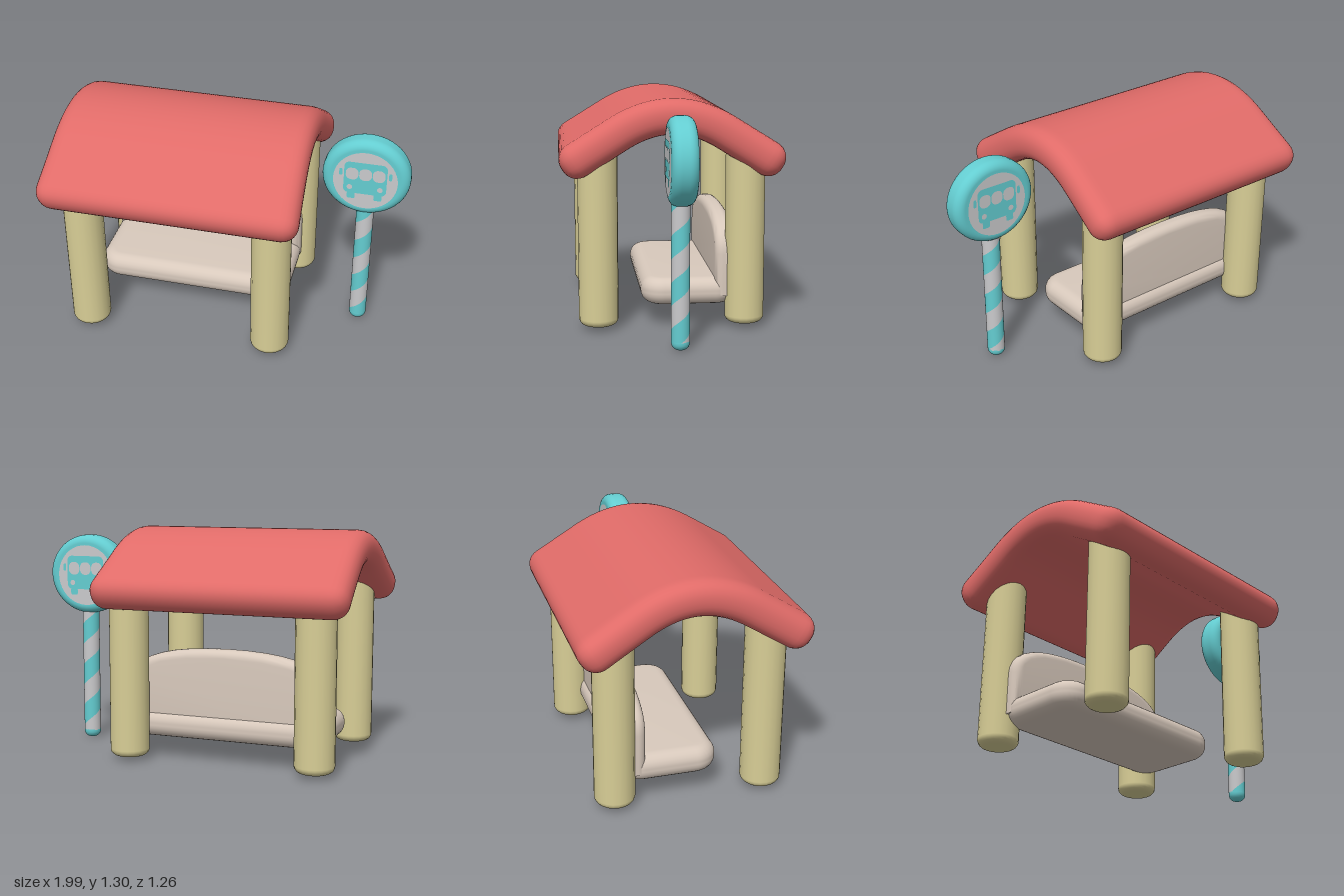
import * as THREE from 'three';
import { mergeVertices, toCreasedNormals } from 'three/addons/utils/BufferGeometryUtils.js';

const mat = (name, color, side = THREE.FrontSide) => {
  const m = new THREE.MeshStandardMaterial({ color, side });
  m.name = name;
  return m;
};

const add = (parent, name, geo, material, x = 0, y = 0, z = 0) => {
  const mesh = new THREE.Mesh(geo, material);
  mesh.name = name;
  mesh.position.set(x, y, z);
  parent.add(mesh);
  return mesh;
};

// Box with rounded edges and a fine grid, so that it can be bent
function softBox(w, h, d, r) {
  const geo = new THREE.BoxGeometry(w, h, d, 48, 8, 48);
  const p = geo.attributes.position;
  const v = new THREE.Vector3(), core = new THREE.Vector3();
  const max = new THREE.Vector3(w / 2 - r, h / 2 - r, d / 2 - r), min = max.clone().negate();
  for (let i = 0; i < p.count; i++) {
    v.fromBufferAttribute(p, i);
    core.copy(v).clamp(min, max);
    v.sub(core).setLength(r).add(core);
    p.setXYZ(i, v.x, v.y, v.z);
  }
  return geo;
}

// Bends the roof slab over a parabola that runs out into straight eaves
function roofGeometry() {
  const geo = softBox(1.47, 0.2, 1.25, 0.092);
  const p = geo.attributes.position;
  for (let i = 0; i < p.count; i++) {
    const x = p.getX(i), y = p.getY(i), z = p.getZ(i);
    const c = THREE.MathUtils.clamp(z, -0.53, 0.53), e = z - c;
    const a = Math.min(Math.abs(c), 0.3);
    const drop = 1.03 * a * a + 0.62 * (Math.abs(c) - a);
    const slope = 2.06 * a * Math.sign(c), len = Math.hypot(1, slope);
    const flare = 1 - 0.022 * (1 - (c / 0.53) ** 2);
    p.setXYZ(i, x * flare, 1.205 - drop + (y - slope * e) / len, c + (e + slope * y) / len);
  }
  geo.deleteAttribute('uv');
  geo.deleteAttribute('normal');
  const merged = mergeVertices(geo, 1e-5);
  merged.computeVertexNormals();
  return merged;
}

function roundedRect(w, h, r, Type = THREE.Shape, cx = 0, cy = 0) {
  const s = new Type(), x = w / 2 - r, y = h / 2 - r;
  s.absarc(cx + x, cy + y, r, 0, Math.PI / 2);
  s.absarc(cx - x, cy + y, r, Math.PI / 2, Math.PI);
  s.absarc(cx - x, cy - y, r, Math.PI, Math.PI * 1.5);
  s.absarc(cx + x, cy - y, r, Math.PI * 1.5, Math.PI * 2);
  s.closePath();
  return s;
}

// Cushion-like slab, centred on its thickness
function cushion(shape, thickness, bevel) {
  const geo = new THREE.ExtrudeGeometry(shape, {
    depth: thickness - 2 * bevel, bevelThickness: bevel, bevelSize: bevel,
    bevelOffset: -bevel, bevelSegments: 6, curveSegments: 10,
  });
  geo.translate(0, 0, bevel - thickness / 2);
  return toCreasedNormals(geo, 0.9);
}

// Solid of revolution with rounded rims
function roundedCylinder(radius, y0, y1, r, segments) {
  const pts = [new THREE.Vector2(0, y0)];
  for (let i = 0; i <= 6; i++) {
    const a = (i / 6) * Math.PI / 2;
    pts.push(new THREE.Vector2(radius - r + r * Math.sin(a), y0 + r - r * Math.cos(a)));
  }
  for (let i = 0; i <= 6; i++) {
    const a = (i / 6) * Math.PI / 2;
    pts.push(new THREE.Vector2(radius - r + r * Math.cos(a), y1 - r + r * Math.sin(a)));
  }
  pts.push(new THREE.Vector2(0, y1));
  return new THREE.LatheGeometry(pts, segments);
}

// One turn of a helical stripe, trimmed to the height of the pole
function stripe(y0, height, bottom, top) {
  const geo = new THREE.CylinderGeometry(0.05, 0.05, height, 32, 1, true);
  const p = geo.attributes.position, uv = geo.attributes.uv;
  for (let i = 0; i < p.count; i++) {
    const y = p.getY(i) + height / 2 + y0 + uv.getX(i) * height * 2;
    p.setY(i, THREE.MathUtils.clamp(y, bottom, top));
  }
  return geo;
}

// Vehicle pictogram with open windows and headlights
function busShapes() {
  const body = roundedRect(0.24, 0.2, 0.03, THREE.Shape, 0, 0.015);
  for (const x of [-0.075, 0, 0.075]) {
    body.holes.push(roundedRect(0.07, 0.075, 0.03, THREE.Path, x, 0.04));
  }
  for (const x of [-0.085, 0.085]) {
    body.holes.push(new THREE.Path().absarc(x, -0.047, 0.016, 0, Math.PI * 2));
  }
  const shapes = [body];
  for (const s of [-1, 1]) {
    shapes.push(roundedRect(0.045, 0.04, 0.01, THREE.Shape, s * 0.075, -0.1));
    shapes.push(roundedRect(0.018, 0.045, 0.008, THREE.Shape, s * 0.138, 0.045));
  }
  return shapes;
}

export function createModel() {
  const red = mat('roof red', 0xe06b68);
  const straw = mat('post straw', 0xd8ce96);
  const beige = mat('bench beige', 0xd8c9bc);
  const teal = mat('sign teal', 0x64cdd1);
  const grey = mat('sign grey', 0xcacacc);

  const model = new THREE.Group();
  model.name = 'busShelter';
  const cx = -0.265, postX = -0.245;

  // Shelter: roof on four posts
  add(model, 'roof', roofGeometry(), red, cx);
  const postGeo = roundedCylinder(0.112, 0.025, 1.06, 0.04, 20);
  for (const sx of [-1, 1]) {
    for (const sz of [-1, 1]) {
      add(model, 'post', postGeo, straw, postX + sx * 0.545, 0, sz * 0.415);
    }
  }

  // Bench: seat slab and arched backrest
  const bench = new THREE.Group();
  bench.name = 'bench';
  model.add(bench);
  const seat = cushion(roundedRect(1.17, 0.55, 0.13), 0.155, 0.07);
  seat.rotateX(-Math.PI / 2);
  add(bench, 'seat', seat, beige, postX, 0.2025, -0.105);

  const back = new THREE.Shape();
  back.moveTo(-0.585, 0.18);
  back.lineTo(0.585, 0.18);
  back.lineTo(0.585, 0.42);
  back.bezierCurveTo(0.585, 0.56, 0.43, 0.645, 0, 0.645);
  back.bezierCurveTo(-0.43, 0.645, -0.585, 0.56, -0.585, 0.42);
  back.closePath();
  add(bench, 'backrest', cushion(back, 0.11, 0.045), beige, postX, 0, -0.3);

  // Sign: striped pole with rounded foot
  const sign = new THREE.Group();
  sign.name = 'stopSign';
  sign.position.set(0.753, 0, 0);
  model.add(sign);
  add(sign, 'poleFoot', roundedCylinder(0.05, 0, 0.09, 0.04, 32), teal);
  for (let k = 0; k < 9; k++) {
    add(sign, 'poleStripe', stripe(-0.265 + 0.125 * k, 0.125, 0.045, 0.82), k % 2 ? grey : teal);
  }

  // Sign disc with the same picture on both faces
  const head = new THREE.Group();
  head.name = 'signHead';
  head.position.set(-0.005, 1.01, -0.004);
  sign.add(head);
  const disc = roundedCylinder(0.247, -0.07, 0.07, 0.05, 48);
  disc.rotateX(Math.PI / 2);
  disc.scale(1, 0.955, 1);
  add(head, 'signDisc', disc, teal);
  const busGeo = new THREE.ShapeGeometry(busShapes(), 8);
  for (const turn of [0, Math.PI]) {
    const face = new THREE.Group();
    face.name = turn ? 'backFace' : 'frontFace';
    face.rotation.y = turn;
    head.add(face);
    add(face, 'signField', new THREE.CircleGeometry(0.18, 40), grey, 0, -0.005, 0.072);
    add(face, 'vehiclePicture', busGeo, teal, 0, -0.005, 0.0745);
  }
  return model;
}
